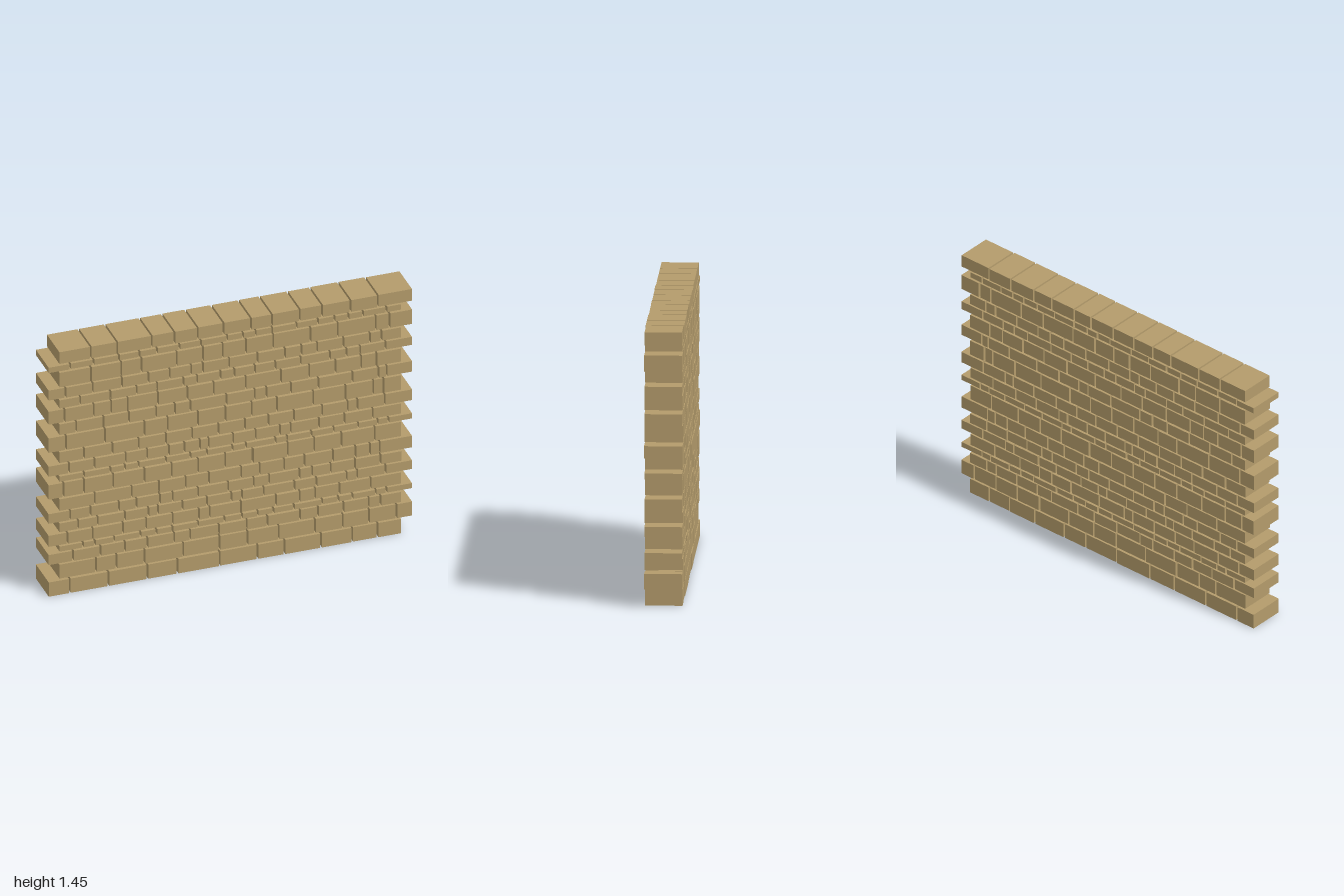
import * as THREE from 'three';

const GAP = 0.01, LENGTH = 1.94, SHIFT = 0.03;

// small seeded generator for slight differences in brick depth
function seeded(seed) {
  return () => (seed = (seed * 16807) % 2147483647) / 2147483647;
}

export function createModel() {
  const wall = new THREE.Group();
  wall.name = 'brickWall';
  const material = new THREE.MeshStandardMaterial({ color: 0xb39b6b });
  const rand = seeded(77);
  let y = 0, index = 0;

  // one course of bricks: height, then relative brick lengths from -x to +x
  function course(height, ...lengths) {
    const row = new THREE.Group();
    row.name = `course${index + 1}`;
    // alternate courses step left and right, leaving toothed ends
    row.position.set(index % 2 ? SHIFT : -SHIFT, y + height / 2, 0);
    const scale = (LENGTH + GAP) / lengths.reduce((a, b) => a + b, 0);
    let x = -LENGTH / 2;
    lengths.forEach((length, i) => {
      const width = length * scale - GAP;
      const depth = 0.2 - 0.008 * rand();
      const brick = new THREE.Mesh(new THREE.BoxGeometry(width, height, depth), material);
      brick.name = `brick${i + 1}`;
      brick.position.x = x + width / 2;
      row.add(brick);
      x += width + GAP;
    });
    wall.add(row);
    y += height + GAP;
    index++;
  }

  // courses from the ground up
  course(0.085, 22.5, 39.5, 40, 31, 43, 39, 27.5, 37.5, 32, 26, 25);
  course(0.083, 38.5, 21, 28.5, 39.5, 37.5, 28.5, 32, 37, 28.5, 27, 28, 17);
  course(0.060, 26, 28, 25, 23, 27.5, 16.5, 29.5, 28.5, 21, 33.5, 18.5, 26, 26, 12, 22);
  course(0.030, 25, 12, 20, 27, 16, 16.5, 26.5, 27, 18, 16, 16, 21, 29, 16.5, 14.5, 24, 11, 27);
  course(0.066, 20, 26, 31, 24, 27, 27, 11, 32, 36, 24, 16, 25, 32, 32);
  course(0.052, 20, 20, 28, 24, 10, 25, 25, 25, 11, 22, 31.5, 22.5, 31, 11, 29, 28);
  course(0.057, 23, 21, 29, 18, 24, 13, 26, 31, 26, 16, 31, 13, 19, 25, 26, 22);
  course(0.069, 37, 38, 28, 27, 24, 33, 19, 25, 21, 29, 23, 15, 10, 34);
  course(0.085, 16, 21, 30, 32, 28, 27, 28, 28, 36, 27, 28, 34, 28);
  course(0.031, 26, 27, 15, 14, 28, 25, 17, 26, 14, 30, 12, 25, 23, 25, 20, 11, 25);
  course(0.060, 22, 26, 32, 22, 22, 16, 16, 9, 25, 23, 25, 11, 29, 26, 29, 30);
  course(0.064, 26, 29, 27, 28, 27, 27, 27, 24, 26, 29, 26, 10, 28, 29);
  course(0.086, 18.5, 40, 40.5, 24, 31, 28, 27, 26, 37, 33, 28.5, 10.5, 19);
  course(0.063, 18, 28, 26, 28, 19, 16, 37, 29, 12, 25, 28, 35, 26.5, 8.5, 27);
  course(0.077, 17, 30, 18, 17, 31, 30, 27, 33, 36, 29, 27, 26, 16, 26);
  course(0.048, 22, 31, 27, 21, 27, 14, 24, 14, 21, 21, 26, 30, 17, 14, 26, 28);
  course(0.059, 18, 28, 30, 27, 22, 22, 12, 27, 29, 28, 17, 16, 27, 27, 12, 21);
  course(0.086, 33, 31, 21, 36, 27, 20, 24, 28, 38, 28, 39, 14, 24);
  course(0.032, 23, 24, 26, 21, 18, 23, 22, 27, 16, 13, 17, 25, 22, 17, 14, 15, 24, 16);
  course(0.070, 33, 27, 35.5, 23, 24, 26.5, 28, 21.5, 28.5, 23, 29, 28, 36);

  return wall;
}
